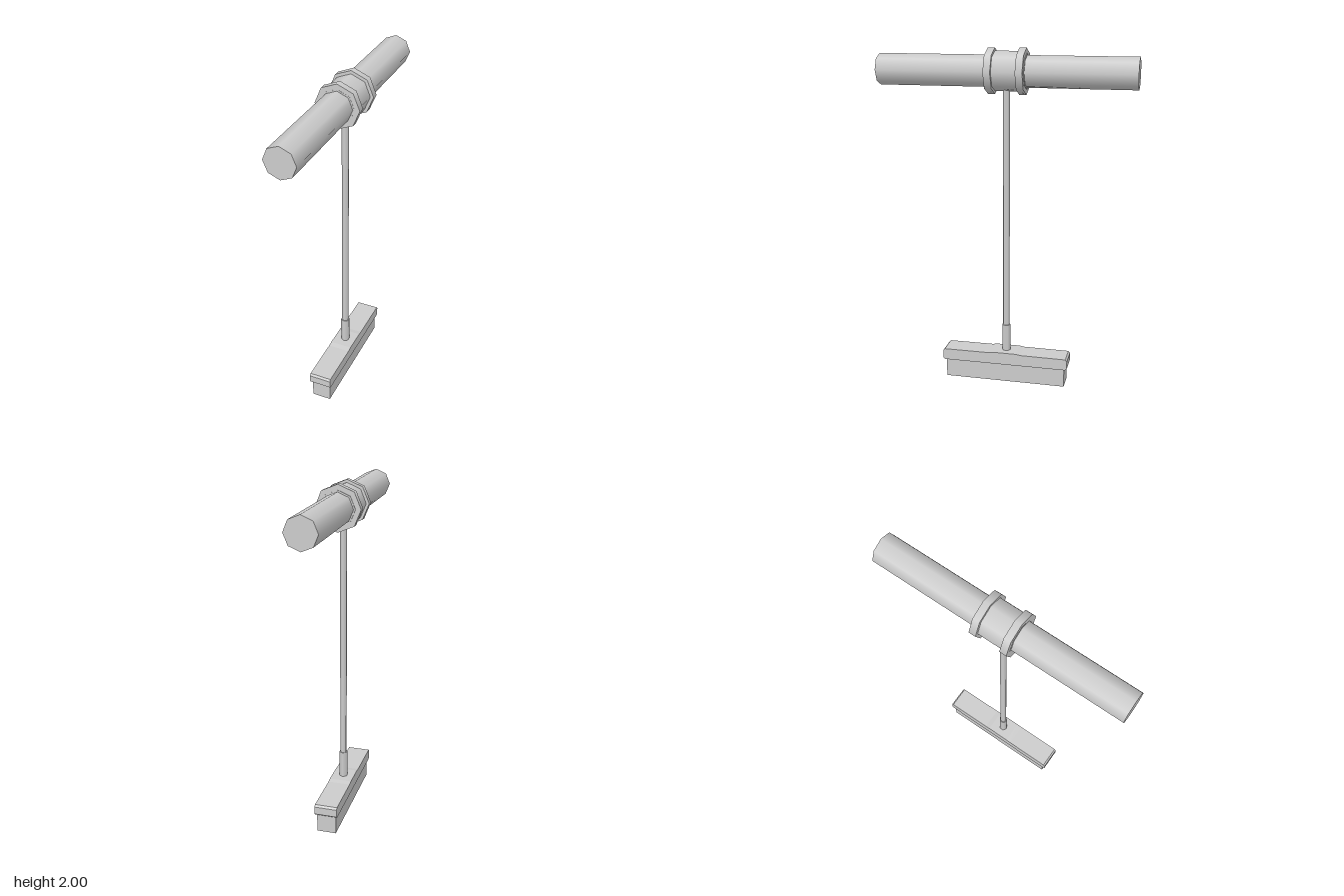
import * as THREE from 'three';

const material = new THREE.MeshStandardMaterial({ color: 0xcccccc });

function add(parent, name, geometry, x = 0, y = 0, z = 0) {
  const mesh = new THREE.Mesh(geometry, material);
  mesh.name = name;
  mesh.position.set(x, y, z);
  parent.add(mesh);
  return mesh;
}

// Smooth eight-sided cylinder lying along z, between z0 and z1
function barrel(parent, name, radius, z0, z1) {
  const geometry = new THREE.CylinderGeometry(radius, radius, z1 - z0, 8).rotateX(Math.PI / 2);
  return add(parent, name, geometry, 0, 0, (z0 + z1) / 2);
}

// Upright six-sided rod between y0 and y1
function rod(parent, name, radius, y0, y1) {
  const geometry = new THREE.CylinderGeometry(radius, radius, y1 - y0, 6);
  return add(parent, name, geometry, 0, (y0 + y1) / 2, -0.004);
}

export function createModel() {
  const model = new THREE.Group();
  model.name = 'standingTube';

  // Horizontal tube with its flanged collar
  const head = new THREE.Group();
  head.name = 'head';
  head.position.y = 1.869;
  model.add(head);
  barrel(head, 'tube', 0.09, -0.745, 0.745);
  barrel(head, 'collarCore', 0.1, -0.123, 0.104);
  barrel(head, 'collar', 0.112, -0.1, 0.085);
  barrel(head, 'frontFlange', 0.129, 0.062, 0.103);
  barrel(head, 'backFlange', 0.131, -0.119, -0.078);

  // Thin pole and the socket at its foot
  rod(model, 'pole', 0.02, 0.17, 1.8);
  rod(model, 'poleSocket', 0.026, 0.17, 0.35);

  // Lower block of the base
  add(model, 'baseBlock', new THREE.BoxGeometry(0.114, 0.12, 0.73), 0, 0.06, -0.005);

  // Base cap: chamfered ends and a slightly raised middle, extruded across x
  const half = [[0.372, 0.112], [0.384, 0.122], [0.384, 0.168], [0.374, 0.18], [0.1, 0.181], [0.07, 0.186]];
  const outline = [...half, ...half.map(([z, y]) => [-z, y]).reverse()];
  const shape = new THREE.Shape(outline.map(([z, y]) => new THREE.Vector2(z, y)));
  const cap = new THREE.ExtrudeGeometry(shape, { depth: 0.134, bevelEnabled: false });
  cap.translate(0, 0, -0.067).rotateY(-Math.PI / 2);
  add(model, 'baseCap', cap, 0, 0, -0.004);

  return model;
}
